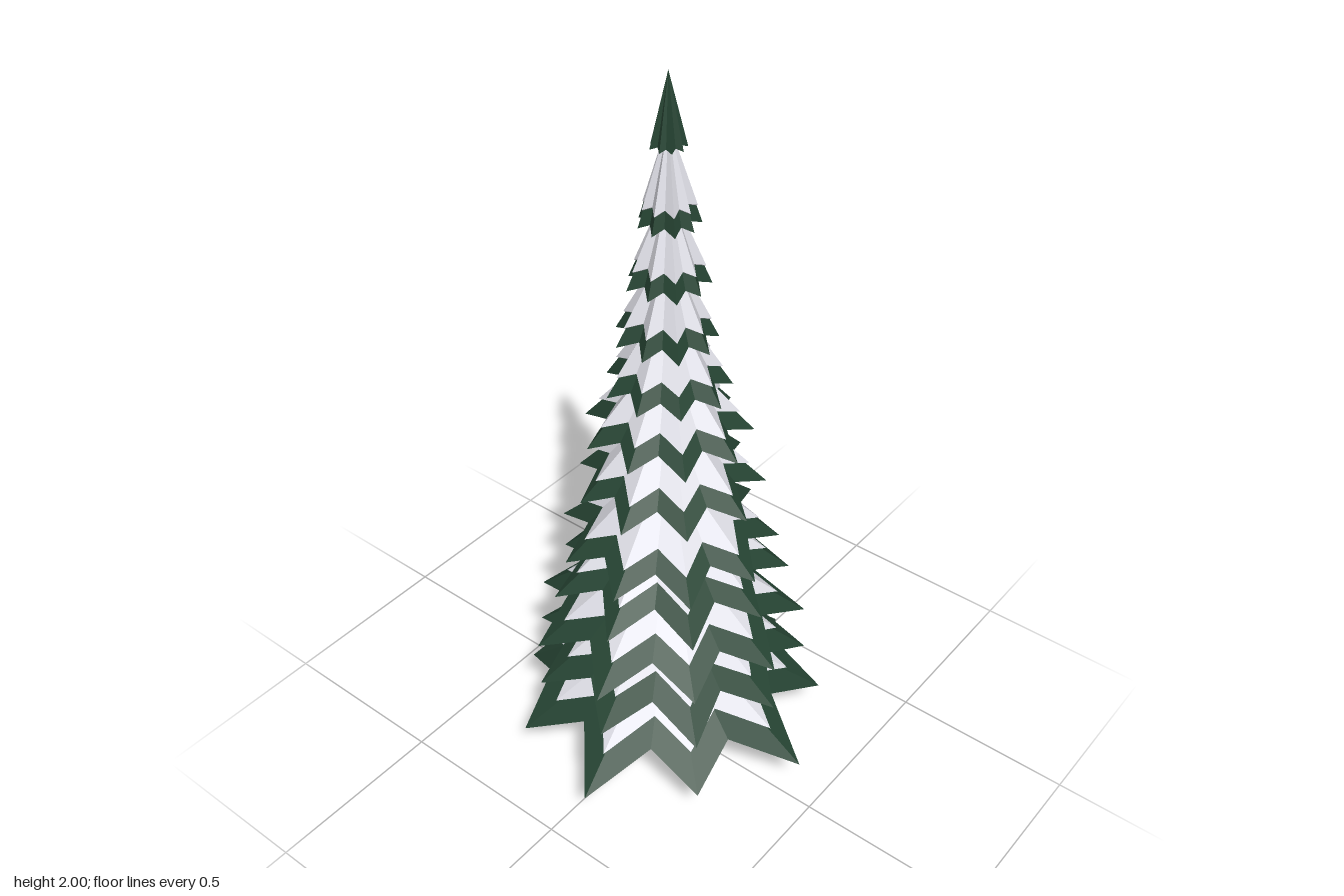
import * as THREE from 'three';

const POINTS = 9;

// Small seeded generator for natural variation
function seeded(seed) {
  return () => {
    seed = (seed * 16807) % 2147483647;
    return seed / 2147483647;
  };
}

// Faceted star cone: a rim of alternating tips and valleys joined to an apex
// above and to a raised centre below
function starCone(rim, apexY, underY) {
  const apex = new THREE.Vector3(0, apexY, 0);
  const under = new THREE.Vector3(0, underY, 0);
  const corners = [];
  rim.forEach((p, i) => {
    const q = rim[(i + 1) % rim.length];
    corners.push(apex, p, q, under, q, p);
  });
  const geometry = new THREE.BufferGeometry().setFromPoints(corners);
  geometry.computeVertexNormals();
  return geometry;
}

export function createModel() {
  const needles = new THREE.MeshStandardMaterial({ color: 0x264433 });
  needles.name = 'needle green';
  const snow = new THREE.MeshStandardMaterial({ color: 0xe4e4ec });
  snow.name = 'snow white';
  const bark = new THREE.MeshStandardMaterial({ color: 0x3e2508 });
  bark.name = 'bark brown';
  for (const m of [needles, snow, bark]) m.flatShading = true;

  const tree = new THREE.Group();
  tree.name = 'snowyFir';
  tree.position.set(-0.01, 0, -0.017);

  const add = (name, geometry, material) => {
    const mesh = new THREE.Mesh(geometry, material);
    mesh.name = name;
    tree.add(mesh);
    return mesh;
  };

  // Trunk
  const trunk = add('trunk', new THREE.CylinderGeometry(0.02, 0.029, 0.34, 8), bark);
  trunk.position.y = 0.17;

  // Branch tiers: [tip height, radius]
  const tiers = [
    [0.12, 0.435], [0.28, 0.372], [0.42, 0.365], [0.58, 0.31],
    [0.69, 0.29], [0.875, 0.25], [1.04, 0.212], [1.18, 0.165],
    [1.32, 0.128], [1.47, 0.102], [1.63, 0.075], [1.82, 0.043],
  ];
  // Spread of the lowest branches, tip by tip and valley by valley
  const lowTips = [0.458, 0.433, 0.431, 0.415, 0.469, 0.416, 0.427, 0.461, 0.403];
  const lowValleys = [0.304, 0.329, 0.339, 0.319, 0.33, 0.33, 0.305, 0.305, 0.312];
  const random = seeded(4711);
  const vary = (amount) => 1 + (random() - 0.5) * 2 * amount;

  tiers.forEach(([y, radius], t) => {
    const top = t === tiers.length - 1;
    const apexY = top ? 2 : y + 0.29 - t * 0.005;
    const rim = [];
    for (let i = 0; i < POINTS * 2; i++) {
      const k = i >> 1;
      const isTip = i % 2 === 0;
      const a = (i * Math.PI) / POINTS;
      let r = isTip ? radius * vary(0.05) : radius * 0.73 * vary(0.03);
      if (t === 0) r = isTip ? lowTips[k] : lowValleys[k];
      const rise = isTip ? 0 : radius * 0.18;
      rim.push(new THREE.Vector3(Math.cos(a) * r, y + rise, -Math.sin(a) * r));
    }
    add('branchTier' + (t + 1), starCone(rim, apexY, y + radius * 0.23), needles);

    // Snow resting on the tier, set back from the rim
    if (top) return;
    const apex = new THREE.Vector3(0, apexY, 0);
    const reach = 0.78 + t * 0.008;
    const lift = 0.011;
    const snowRim = rim.map((p) => {
      const q = apex.clone().lerp(p, reach);
      q.y += lift;
      return q;
    });
    add('snow' + (t + 1), starCone(snowRim, apexY + lift, y + radius * 0.26), snow);
  });

  const model = new THREE.Group();
  model.name = 'tree';
  model.add(tree);
  return model;
}
